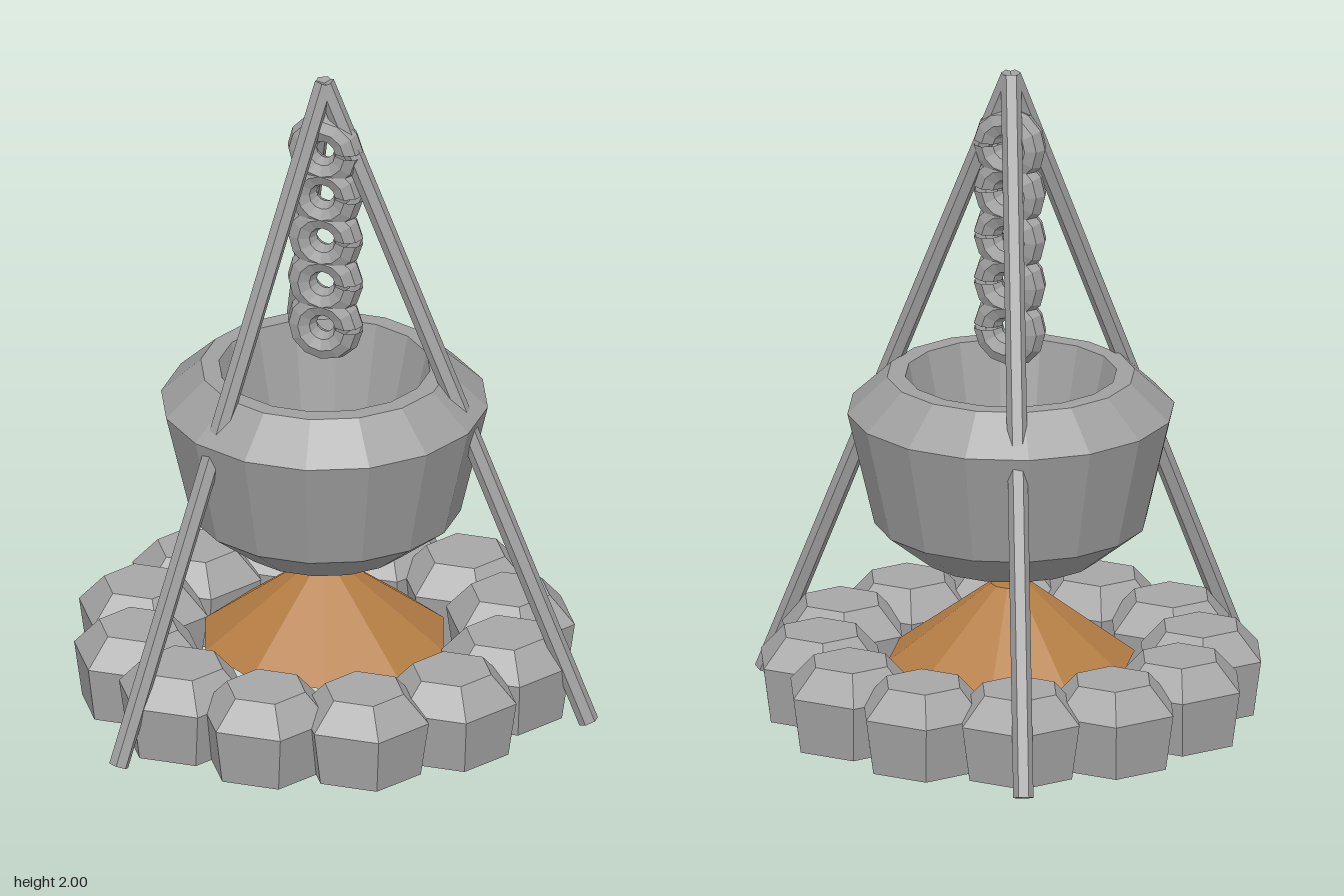
import * as THREE from 'three';

const CX = -0.045; // axis of fire, pot and tripod

const mat = (name, color, side = THREE.FrontSide) =>
  new THREE.MeshStandardMaterial({ name, color, side });

// Split vertices so every face is flat
function faceted(geometry) {
  const g = geometry.index ? geometry.toNonIndexed() : geometry;
  g.computeVertexNormals();
  return g;
}

function turned(profile, sides, start = 0) {
  const points = profile.map(([r, y]) => new THREE.Vector2(r, y));
  return faceted(new THREE.LatheGeometry(points, sides, start));
}

export function createModel() {
  const group = new THREE.Group();
  const stone = mat('stone grey', 0xa6a6a6);
  const iron = mat('iron grey', 0xa0a0a0);
  const chainIron = mat('chain grey', 0xa0a0a0, THREE.DoubleSide);
  const ember = mat('ember orange', 0xb47d44);

  const add = (name, geometry, material, x = 0, y = 0, z = 0) => {
    const mesh = new THREE.Mesh(geometry, material);
    mesh.name = name;
    mesh.position.set(x, y, z);
    group.add(mesh);
    return mesh;
  };

  // Ring of twelve hexagonal stones, all turned the same way
  const stoneGeometry = turned(
    [[0, 0.01], [0.175, 0.01], [0.2, 0.18], [0.122, 0.265], [0, 0.265]], 6, Math.PI / 2);
  for (let i = 0; i < 12; i++) {
    const a = (i * Math.PI) / 6;
    add('ringStone', stoneGeometry, stone, CX + 0.562 * Math.cos(a), 0, 0.562 * Math.sin(a));
  }

  // Mound of embers
  add('emberMound',
    turned([[0, 0.175], [0.37, 0.175], [0.06, 0.407], [0, 0.407]], 10, Math.PI / 10),
    ember, CX);

  // Thick-walled pot, open through the middle
  add('pot', turned([
    [0.182, 0.495], [0.265, 0.495], [0.405, 0.605], [0.486, 0.95],
    [0.368, 1.06], [0.314, 1.06], [0.182, 0.495],
  ], 16, Math.PI / 16), iron, CX);

  // Tripod poles meeting at the top
  const top = new THREE.Vector3(CX, 1.988, 0);
  for (let i = 0; i < 3; i++) {
    const a = (i * 2 * Math.PI) / 3;
    const foot = new THREE.Vector3(CX + 0.82 * Math.cos(a), 0.012, 0.82 * Math.sin(a));
    const dir = top.clone().sub(foot);
    const pole = add('tripodPole',
      faceted(new THREE.CylinderGeometry(0.03, 0.03, dir.length(), 6)), iron);
    pole.position.copy(foot).add(top).multiplyScalar(0.5);
    // Turn about the axis first, so all poles lean alike
    pole.rotation.set(0, -a, Math.atan2(0.82, dir.y), 'YXZ');
  }

  // Chain of overlapping links, each with a narrow slit on its left
  const gap = 0.14;
  const linkGeometry = faceted(
    new THREE.TorusGeometry(0.072, 0.045, 8, 12, 2 * Math.PI - gap).rotateZ(-Math.PI * 2 + gap / 2));
  for (let i = 0; i < 5; i++) {
    add('chainLink', linkGeometry, chainIron, CX + 0.003, 1.2 + i * 0.143, 0);
  }

  return group;
}
